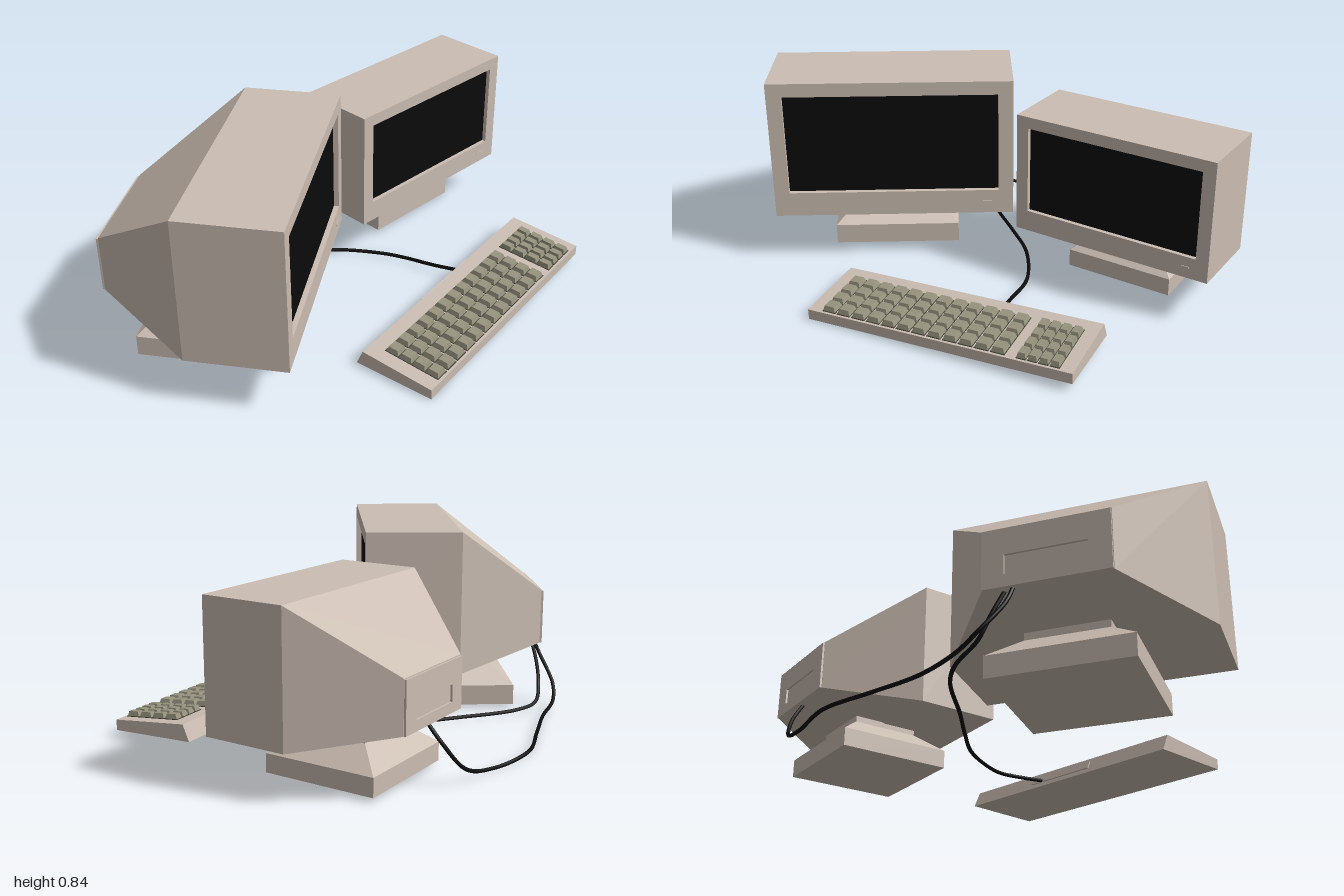
import * as THREE from 'three';

const mat = (color) => new THREE.MeshStandardMaterial({ color, flatShading: true });
const beige = mat(0xcbbdb2);
const black = mat(0x0b0b0b);
const keyGrey = mat(0x96937f);
const trayGrey = mat(0x4a4a40);

function add(parent, name, geometry, material) {
  const mesh = new THREE.Mesh(geometry, material);
  mesh.name = name;
  parent.add(mesh);
  return mesh;
}

function box(x0, x1, y0, y1, z0, z1) {
  return new THREE.BoxGeometry(x1 - x0, y1 - y0, z1 - z0)
    .translate((x0 + x1) / 2, (y0 + y1) / 2, (z0 + z1) / 2);
}

// Upright frustum: bottom size w0 x d0, top size w1 x d1
function frustum(y0, y1, w0, d0, w1, d1) {
  const g = new THREE.BoxGeometry(1, y1 - y0, 1);
  const p = g.attributes.position;
  for (let i = 0; i < p.count; i++) {
    const top = p.getY(i) > 0;
    p.setX(i, p.getX(i) * (top ? w1 : w0));
    p.setZ(i, p.getZ(i) * (top ? d1 : d0));
  }
  g.translate(0, (y0 + y1) / 2, 0);
  g.computeVertexNormals();
  return g;
}

// Rectangular frame facing +x; outer and hole are [half width, y0, y1]
function frame(outer, hole, x0, depth) {
  const corners = ([w, a, b]) => [[-w, a], [w, a], [w, b], [-w, b]].map(([x, y]) => new THREE.Vector2(x, y));
  const shape = new THREE.Shape(corners(outer));
  shape.holes.push(new THREE.Path(corners(hole).reverse()));
  return new THREE.ExtrudeGeometry(shape, { depth, bevelEnabled: false })
    .rotateY(Math.PI / 2).translate(x0, 0, 0);
}

// Monitor facing +x, centred on its stand
function createMonitor(name) {
  const m = new THREE.Group();
  m.name = name;
  add(m, 'casing', box(0, 0.385, 0.22, 0.84, -0.525, 0.525), beige);
  add(m, 'bezel', frame([0.525, 0.22, 0.84], [0.46, 0.33, 0.78], 0.385, 0.025), beige);
  add(m, 'screen', box(0.38, 0.388, 0.33, 0.78, -0.46, 0.46), black);
  add(m, 'powerButton', box(0.40, 0.413, 0.27, 0.28, -0.43, -0.39), beige);

  // Tapered rear housing
  const rear = box(-0.4, 0, 0.22, 0.84, -0.525, 0.525);
  const p = rear.attributes.position;
  for (let i = 0; i < p.count; i++) {
    if (p.getX(i) > -0.2) continue;
    p.setY(i, p.getY(i) > 0.5 ? 0.535 : 0.29);
    p.setZ(i, Math.sign(p.getZ(i)) * 0.242);
  }
  rear.computeVertexNormals();
  add(m, 'rearHousing', rear, beige);
  add(m, 'rearPanel', frame([0.24, 0.29, 0.53], [0.155, 0.34, 0.42], -0.41, 0.015), beige);

  // Stand
  add(m, 'base', box(-0.28, 0.28, 0.01, 0.1, -0.28, 0.28), beige);
  add(m, 'standTaper', frustum(0.1, 0.195, 0.56, 0.56, 0.33, 0.33), beige);
  add(m, 'neck', box(-0.165, 0.165, 0.195, 0.225, -0.165, 0.165), beige);
  return m;
}

// One block of keys: rows run along x, columns along z
function addKeys(parent, name, z0, z1, columns) {
  const block = new THREE.Group();
  block.name = name;
  parent.add(block);
  const rows = 4, x0 = 0.065, x1 = 0.32;
  const dx = (x1 - x0) / rows, dz = (z1 - z0) / columns;
  const keyShape = frustum(0, 0.021, dx * 0.9, dz * 0.82, dx * 0.68, dz * 0.62);
  for (let c = 0; c < columns; c++) {
    const z = z0 + (c + 0.5) * dz;
    add(block, 'keyTray', box(x0, x1, -0.004, 0.003, z - dz * 0.44, z + dz * 0.44), trayGrey);
    for (let r = 0; r < rows; r++) {
      add(block, 'key', keyShape, keyGrey).position.set(x0 + (r + 0.5) * dx, 0.002, z);
    }
  }
}

function createKeyboard() {
  const k = new THREE.Group();
  k.name = 'keyboard';
  const profile = new THREE.Shape([[-0.18, 0], [0.18, 0], [0.18, 0.045], [-0.15, 0.07]]
    .map(([x, y]) => new THREE.Vector2(x, y)));
  add(k, 'keyboardCase', new THREE.ExtrudeGeometry(profile, { depth: 1.167, bevelEnabled: false })
    .translate(0, 0, -0.5835), beige);
  // Narrow socket strip on the sloping back
  const strip = add(k, 'cableSocket', new THREE.BoxGeometry(0.008, 0.035, 0.35), beige);
  strip.position.set(-0.166, 0.037, -0.02);
  strip.rotation.z = -0.4;

  const deck = new THREE.Group();
  deck.name = 'keyDeck';
  deck.position.set(-0.15, 0.07, 0);
  deck.rotation.z = -0.0757;
  k.add(deck);
  addKeys(deck, 'numberPad', -0.53, -0.345, 4);
  addKeys(deck, 'mainKeys', -0.305, 0.525, 12);
  return k;
}

function cable(parent, name, points) {
  const curve = new THREE.CatmullRomCurve3(points.map((q) => new THREE.Vector3(...q)));
  const mesh = add(parent, name, new THREE.TubeGeometry(curve, 90, 0.008, 8), black.clone());
  mesh.material.flatShading = false;
}

export function createModel() {
  const model = new THREE.Group();
  model.name = 'computerDesk';

  const large = createMonitor('largeMonitor');
  large.position.set(-0.49, 0, 0.475);
  const small = createMonitor('smallMonitor');
  small.position.set(-0.01, 0.008, -0.63);
  small.rotation.y = -0.612;
  small.scale.setScalar(0.857);

  const keyboard = createKeyboard();
  keyboard.position.set(0.538, 0.02, 0.2125);
  keyboard.rotation.set(0.03, -0.481, 0, 'YXZ');
  model.add(large, small, keyboard);

  cable(model, 'monitorCable', [
    [-0.87, 0.31, 0.35], [-0.91, 0.22, 0.33], [-0.96, 0.1, 0.25], [-0.95, 0.04, 0.17],
    [-0.87, 0.015, 0], [-0.8, 0.01, -0.22], [-0.72, 0.01, -0.46], [-0.55, 0.015, -0.66],
    [-0.42, 0.06, -0.79], [-0.33, 0.17, -0.83], [-0.26, 0.27, -0.82],
  ]);
  cable(model, 'keyboardCable', [
    [-0.86, 0.31, 0.32], [-0.885, 0.2, 0.27], [-0.89, 0.1, 0.22], [-0.86, 0.04, 0.13],
    [-0.77, 0.022, 0.07], [-0.5, 0.01, 0], [-0.3, 0.01, -0.06], [-0.1, 0.012, -0.11],
    [0.1, 0.015, -0.11], [0.2, 0.018, -0.09], [0.34, 0.035, -0.03], [0.46, 0.055, 0.02],
  ]);
  return model;
}
